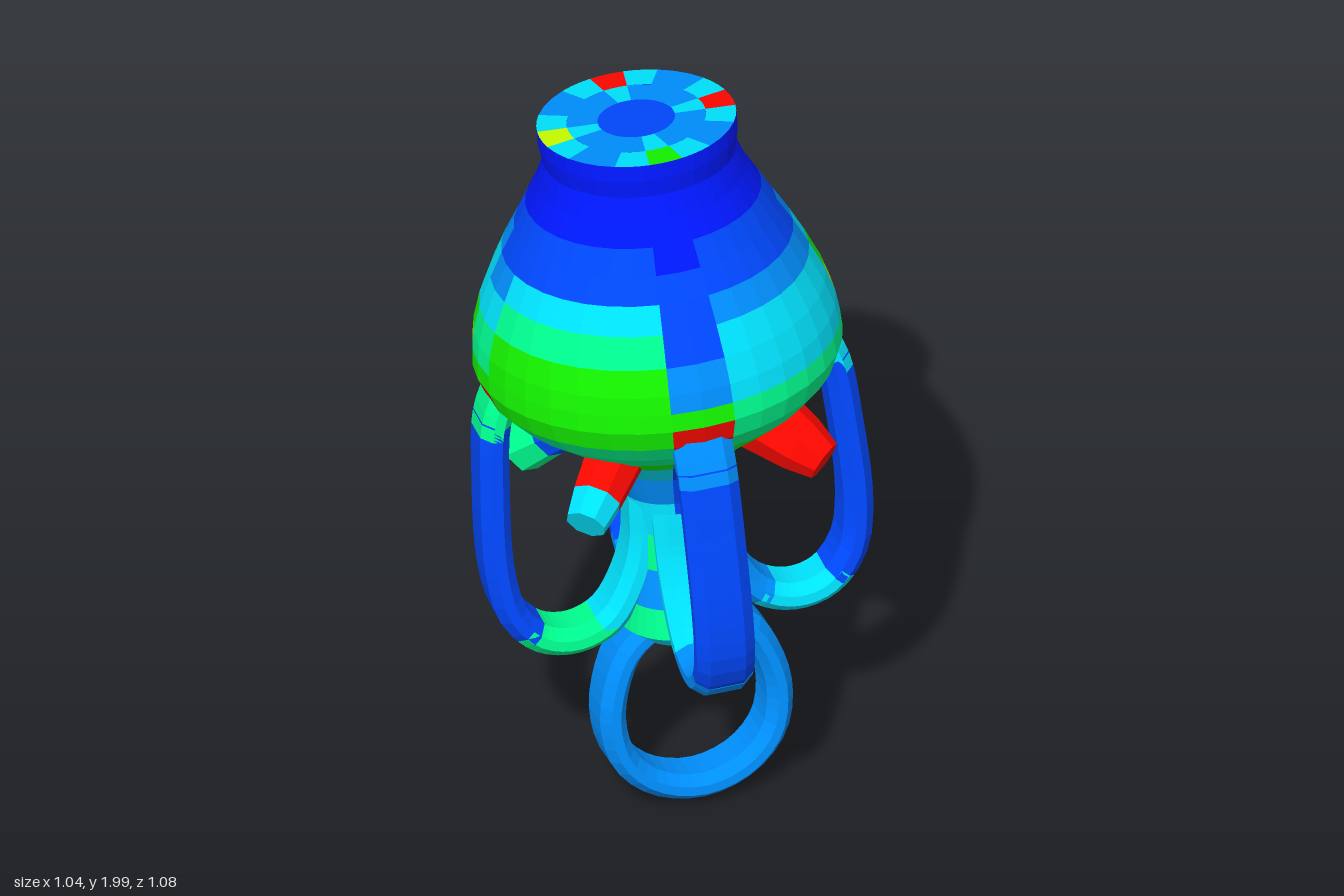
import * as THREE from 'three';

const COLORS = {
  d: 0x0018ff, b: 0x0048ff, a: 0x0090ff, c: 0x00e4ff, t: 0x00ff90, g: 0x14f400, y: 0xc8ff00, r: 0xff0800,
};
const DEG = Math.PI / 180;
const YAW = -0.05;

function part(name, geometry, color, side = THREE.FrontSide) {
  const mesh = new THREE.Mesh(geometry,
    new THREE.MeshStandardMaterial({ color: COLORS[color], flatShading: true, side }));
  mesh.name = name;
  return mesh;
}

// Body slices from bottom to top: radius and height of the lower edge, then the
// colours of the four panels (left-front, left-back, right-back, right-front)
// and of the four seams (front, left, back, right)
const BODY = [
  ['stemFoot', 0, 0.5, 'c'],
  ['stemFoot', 0.12, 0.5, 'c'],
  ['stemFoot', 0.165, 0.54, 'gctt', 'aaaa'],
  ['stem', 0.15, 0.62, 'tcta', 'bbbb'],
  ['stem', 0.125, 0.72, 'gcgt', 'bbbb'],
  ['stem', 0.118, 0.82, 'gttc', 'bbbb'],
  ['stem', 0.128, 0.92, 'tcta', 'bbbb'],
  ['lowerBowl', 0.165, 1.01, 'tctc', 'baba'],
  ['lowerBowl', 0.235, 1.08, 'ccrg', 'abab'],
  ['lowerBowl', 0.32, 1.14, 'gtgt', 'cccc'],
  ['lowerBowl', 0.4, 1.2, 'tgrt', 'rgrg'],
  ['belly', 0.455, 1.26, 'tgrg', 'rrrr'],
  ['belly', 0.478, 1.32, 'tgrg', 'ggrg'],
  ['belly', 0.475, 1.37, 'cgyg', 'agct'],
  ['belly', 0.468, 1.42, 'ctgg', 'aygt'],
  ['shoulder', 0.447, 1.49, 'ccct', 'bgac'],
  ['shoulder', 0.412, 1.57, 'aacc', 'bcba'],
  ['shoulder', 0.377, 1.64, 'baab', 'babb'],
  ['shoulder', 0.34, 1.705, 'bbbb', 'dbdb'],
  ['neck', 0.305, 1.77, 'd'],
  ['neck', 0.272, 1.83, 'd'],
  ['neck', 0.25, 1.89, 'd'],
  ['rim', 0.258, 1.94, 'd'],
  ['rim', 0.258, 1.985],
];

function buildBody() {
  const body = new THREE.Group();
  body.name = 'body';
  body.rotation.y = YAW;
  for (let i = 0; i < BODY.length - 1; i++) {
    const [name, r, h, panels, seams] = BODY[i];
    const edge = [new THREE.Vector2(r, h), new THREE.Vector2(BODY[i + 1][1], BODY[i + 1][2])];
    const slice = (label, color, start, sides) => body.add(part(label,
      new THREE.LatheGeometry(edge, sides, start * DEG, sides * 10 * DEG), color, THREE.DoubleSide));
    if (!seams) {
      slice(name, panels, 0, 36);
      continue;
    }
    for (let k = 0; k < 4; k++) {
      slice(name + 'Panel', panels[k], 90 * k + 10, 7);
      slice(name + 'Seam', seams[k], 90 * k - 10, 2);
    }
  }
  return body;
}

// Closed top made of rings, with four marked spots towards the outer edge
function buildLid() {
  const lid = new THREE.Group();
  lid.name = 'lid';
  lid.rotation.x = -Math.PI / 2;
  lid.position.y = 1.985;
  const ring = (name, inner, outer, color, start, sides) => lid.add(part(name,
    new THREE.RingGeometry(inner, outer, sides, 1, start * DEG, sides * 10 * DEG), color));
  ring('lidCentre', 0, 0.1, 'b', 0, 36);
  for (let k = 0; k < 4; k++) {
    ring('lidMiddle', 0.1, 0.18, 'a', 90 * k + 10, 7);
    ring('lidInnerSpot', 0.1, 0.18, 'c', 90 * k - 10, 2);
    ring('lidEdge', 0.18, 0.258, 'a', 90 * k + 30, 3);
    ring('lidSpotSide', 0.18, 0.258, 'c', 90 * k + 10, 2);
    ring('lidSpotSide', 0.18, 0.258, 'c', 90 * k + 60, 2);
    ring('lidSpot', 0.18, 0.258, 'rryg'[k], 90 * k - 10, 2);
  }
  return lid;
}

const curve = (points, closed = false) =>
  new THREE.CatmullRomCurve3(points.map(([x, y]) => new THREE.Vector3(x, y, 0)), closed);

// Flat bar with chamfered edges swept along a path in the xy plane
function bar(path, width, thickness, steps) {
  const w = width / 2, t = thickness / 2, cw = w * 0.4, ct = t * 0.65;
  const section = new THREE.Shape([
    [w, -t + ct], [w, t - ct], [w - cw, t], [-w + cw, t],
    [-w, t - ct], [-w, -t + ct], [-w + cw, -t], [w - cw, -t],
  ].map(([x, y]) => new THREE.Vector2(x, y)));
  return new THREE.ExtrudeGeometry(section, { steps, extrudePath: path, bevelEnabled: false });
}

// Stub with a flared root, between two points given as radius and height
function stub(name, angle, from, to, r0, r1, colors) {
  const point = ([r, h]) => new THREE.Vector3(r * Math.sin(angle), h, r * Math.cos(angle));
  const a = point(from), b = point(to), length = a.distanceTo(b), mid = (r0 + r1) / 2;
  const group = new THREE.Group();
  group.name = name;
  const root = part('stubRoot', new THREE.CylinderGeometry(mid, r0, length * 0.65, 8), colors[0]);
  root.position.y = length * 0.325;
  const tip = part('stubTip', new THREE.CylinderGeometry(r1, mid, length * 0.35, 8), colors[1]);
  tip.position.y = length * 0.825;
  group.add(root, tip);
  group.position.copy(a);
  group.quaternion.setFromUnitVectors(new THREE.Vector3(0, 1, 0), b.sub(a).normalize());
  return group;
}

export function createModel() {
  const model = new THREE.Group();
  model.name = 'vessel';
  const tilted = new THREE.Group();
  tilted.name = 'tiltedVessel';
  model.add(tilted);
  tilted.add(buildBody(), buildLid());

  // Four handles curving from the belly down and back up into the stem
  const samples = curve([[0.4, 1.31], [0.45, 1.2], [0.47, 1.02], [0.477, 0.76], [0.45, 0.63],
    [0.38, 0.55], [0.29, 0.53], [0.2, 0.565], [0.135, 0.655], [0.095, 0.77], [0.085, 0.9]])
    .getPoints(40).map((p) => [p.x, p.y]);
  const pieces = [[0, 5], [4, 19], [18, 28], [27, 40]].map(([from, to]) =>
    bar(curve(samples.slice(from, to + 1)), 0.155, 0.078, to - from));
  const handleColors = { leftHandle: 'cbca', backHandle: 'gbac', rightHandle: 'tbtc', frontHandle: 'abac' };
  Object.entries(handleColors).forEach(([name, colors], i) => {
    const handle = new THREE.Group();
    handle.name = name;
    pieces.forEach((piece, j) =>
      handle.add(part(['handleTop', 'handleArm', 'handleBend', 'handleRoot'][j], piece, colors[j])));
    handle.rotation.y = YAW + i * Math.PI / 2;
    handle.position.y = i % 2 ? -0.015 : 0.01;
    tilted.add(handle);
  });

  // Hanging ring under the stem
  const half = [[0.12, 0.083], [0.2, 0.165], [0.225, 0.28], [0.205, 0.39], [0.16, 0.48], [0.08, 0.535]];
  const loop = [[0, 0.05], ...half, [0, 0.545], ...half.map(([x, y]) => [-x, y]).reverse()];
  tilted.add(part('bottomRing', bar(curve(loop, true), 0.16, 0.07, 40), 'a'));

  // Stubs between the handles
  const q = Math.PI / 4;
  tilted.add(
    stub('frontLeftStub', q, [0.28, 1.17], [0.46, 1.06], 0.1, 0.055, 'rr'),
    stub('frontRightStub', -q, [0.26, 1.14], [0.455, 1.03], 0.08, 0.055, 'rc'),
    stub('backLeftStub', 3 * q, [0.2, 1.1], [0.45, 0.99], 0.06, 0.075, 'ca'),
    stub('backRightStub', -3 * q, [0.2, 1.09], [0.43, 0.96], 0.06, 0.085, 'bt'),
  );

  // Whole vessel leans back and slightly to one side
  const up = new THREE.Vector3(-0.036, 1, -0.16).normalize();
  tilted.quaternion.setFromUnitVectors(new THREE.Vector3(0, 1, 0), up);
  tilted.position.set(0.02, 0, 0.155);
  return model;
}
